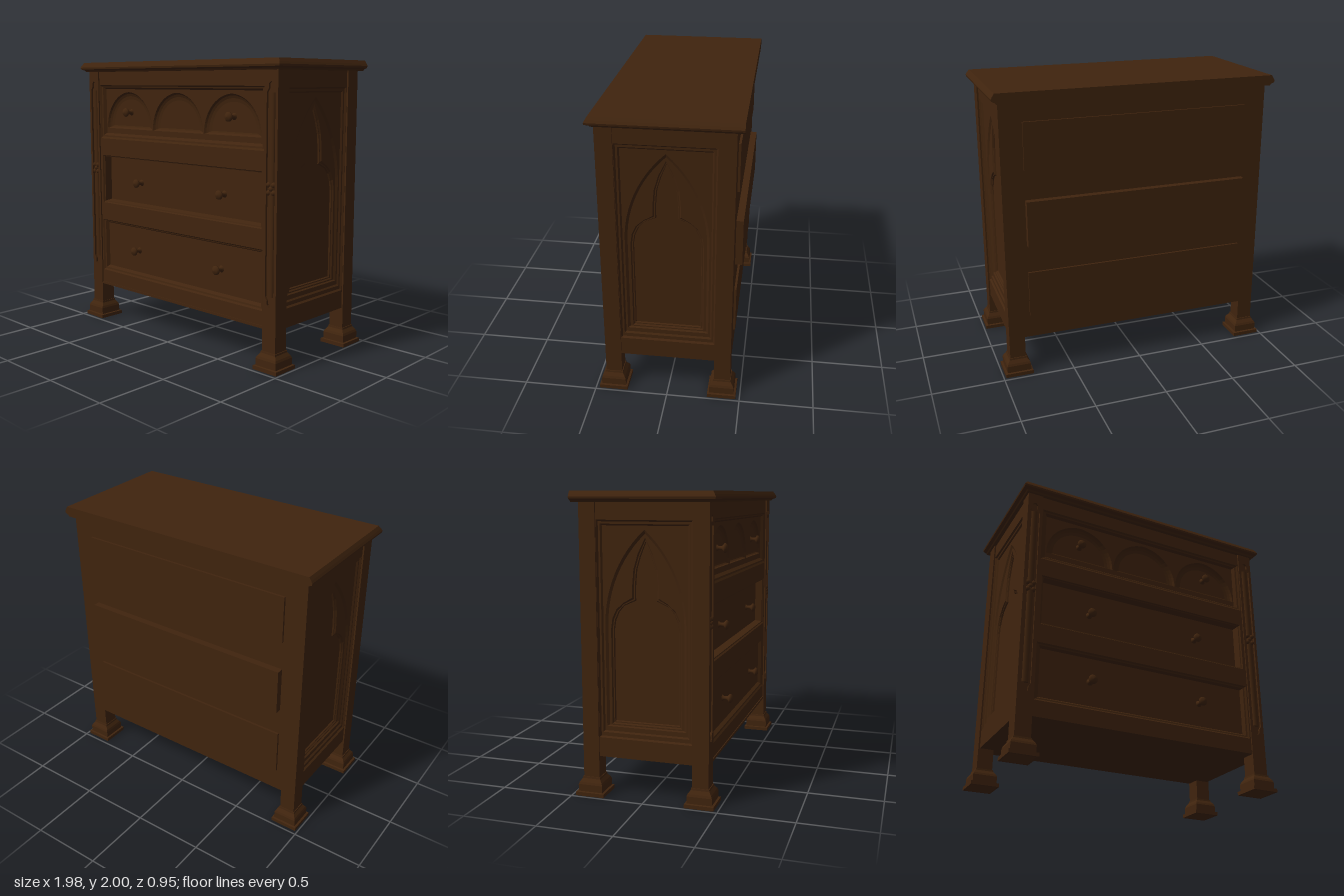
import * as THREE from 'three';

const wood = new THREE.MeshStandardMaterial({ color: 0x40240e });
wood.name = 'dark oak';

const V = (x, y) => new THREE.Vector2(x, y);
const rect = (x0, y0, x1, y1) => [V(x0, y0), V(x1, y0), V(x1, y1), V(x0, y1)];
const square = (h) => rect(-h, -h, h, h);

// Closes a right-hand outline (bottom to apex) with its mirror image
const mirror = (half, cx = 0) => [
  ...half.map(([x, y]) => V(cx + x, y)),
  ...half.filter(([x]) => x > 0).reverse().map(([x, y]) => V(cx - x, y)),
];

// Pointed arch: straight jambs up to the spring, then two arcs to the apex
function arch(w, y0, spring, apex, cx = 0) {
  const h = apex - spring, c = (h * h - w * w) / (2 * w), R = w + c;
  const end = Math.atan2(h, c), half = [[w, y0]];
  for (let i = 0; i < 12; i++) {
    const a = (end * i) / 12;
    half.push([R * Math.cos(a) - c, spring + R * Math.sin(a)]);
  }
  half.push([0, apex]);
  return mirror(half, cx);
}

// Trefoil-headed outline, inset by d
const trefoil = (d) => mirror([
  [0.238 - d, 0.49 + d], [0.238 - d, 1.12], [0.228 - d, 1.19 - d * 0.5], [0.2 - d * 0.8, 1.25 - d * 0.8],
  [0.15, 1.295 - d], [0.09 - d, 1.33 - d], [0.09 - d, 1.4], [0.08 - d, 1.51], [0.05 - d * 0.7, 1.61 - d],
  [0.02 - d * 0.4, 1.67 - d], [0, 1.71 - d * 1.5],
]);

function add(parent, name, geometry, x = 0, y = 0, z = 0) {
  const mesh = new THREE.Mesh(geometry, wood);
  mesh.name = name;
  mesh.position.set(x, y, z);
  parent.add(mesh);
  return mesh;
}

const box = (parent, name, x0, x1, y0, y1, z0, z1) =>
  add(parent, name, new THREE.BoxGeometry(x1 - x0, y1 - y0, z1 - z0), (x0 + x1) / 2, (y0 + y1) / 2, (z0 + z1) / 2);

// Flat face with openings
function face(parent, name, outline, holes, z) {
  const shape = new THREE.Shape(outline);
  shape.holes = holes.map((h) => new THREE.Path(h));
  return add(parent, name, new THREE.ShapeGeometry(shape), 0, 0, z);
}

// Moulding strip through a series of [outline, z] levels, optionally capped
function moulding(parent, name, levels, cap = true) {
  const pos = [];
  for (let k = 0; k + 1 < levels.length; k++) {
    const [a, za] = levels[k], [b, zb] = levels[k + 1];
    a.forEach((p, i) => {
      const j = (i + 1) % a.length, q = a[j], r = b[j], s = b[i];
      pos.push(p.x, p.y, za, q.x, q.y, za, r.x, r.y, zb, p.x, p.y, za, r.x, r.y, zb, s.x, s.y, zb);
    });
  }
  const g = new THREE.BufferGeometry();
  g.setAttribute('position', new THREE.Float32BufferAttribute(pos, 3));
  g.computeVertexNormals();
  const mesh = add(parent, name, g);
  const [last, z] = levels[levels.length - 1];
  if (cap) face(mesh, name + 'Face', last, [], z);
  return mesh;
}

function knob(parent, x, y, z) {
  const p = [[0.024, 0], [0.014, 0.012], [0.014, 0.035], [0.022, 0.045], [0.032, 0.052], [0.032, 0.06], [0.022, 0.072], [0, 0.076]];
  add(parent, 'knob', new THREE.LatheGeometry(p.map(([r, h]) => V(r, h)), 16), x, y, z).rotation.x = Math.PI / 2;
}

function sidePanel(s) {
  const g = new THREE.Group();
  g.name = s > 0 ? 'leftSide' : 'rightSide';
  const opening = rect(-0.318, 0.4, 0.318, 1.82), inner = rect(-0.285, 0.445, 0.285, 1.785);
  const archOuter = arch(0.272, 0.475, 1.15, 1.76);
  face(g, 'sideFrame', rect(-0.325, 0.27, 0.325, 1.93), [opening], 0.93);
  moulding(g, 'sideFrameMoulding', [[opening, 0.93], [rect(-0.308, 0.41, 0.308, 1.81), 0.918],
    [rect(-0.295, 0.435, 0.295, 1.795), 0.918], [inner, 0.908]], false);
  face(g, 'sideSpandrel', inner, [archOuter], 0.908);
  const archInner = arch(0.256, 0.482, 1.15, 1.735);
  moulding(g, 'sideArch', [[archOuter, 0.908], [archInner, 0.897]], false);
  face(g, 'sideTracery', archInner, [trefoil(0)], 0.897);
  moulding(g, 'trefoilRecess', [[trefoil(0), 0.897], [trefoil(0.008), 0.888], [trefoil(0.015), 0.888], [trefoil(0.02), 0.878]]);
  g.rotation.y = (s * Math.PI) / 2;
  return g;
}

function leg(sx, sz) {
  const g = new THREE.Group();
  g.name = (sz > 0 ? 'front' : 'back') + (sx > 0 ? 'Left' : 'Right') + 'Leg';
  g.position.set(sx * 0.886, 0, sz * 0.375);
  const front = sz > 0;
  box(g, 'post', -0.055, 0.055, 0.1, 1.93, -0.055, front ? 0.04 : 0.055);
  // Stepped foot with a hollow underside
  moulding(g, 'foot', [[square(0.001), 0.08], [square(0.085), 0], [square(0.098), 0], [square(0.098), 0.025],
    [square(0.084), 0.028], [square(0.084), 0.075], [square(0.078), 0.09], [square(0.062), 0.112],
    [square(0.06), 0.125]]).rotation.x = -Math.PI / 2;
  if (front) {
    // Lobed groove with a slim shaft and a knot halfway up
    const shape = new THREE.Shape(rect(-0.055, 0.1, 0.055, 1.93));
    shape.holes.push(new THREE.Path(mirror([[0, 0.42], [0.018, 0.435], [0.02, 0.465], [0.035, 0.49],
      [0.035, 1.79], [0.02, 1.815], [0.018, 1.845], [0, 1.86]])));
    add(g, 'groovedFace', new THREE.ExtrudeGeometry(shape, { depth: 0.015, bevelEnabled: false }), 0, 0, 0.04);
    add(g, 'shaft', new THREE.CylinderGeometry(0.022, 0.022, 1.3, 12), 0, 1.14, 0.04).scale.z = 0.6;
    for (const [x, y] of [[-0.02, 1.165], [0.02, 1.165], [0, 1.19], [-0.02, 1.215], [0.02, 1.215]])
      add(g, 'knot', new THREE.SphereGeometry(0.018, 10, 8), x, y, 0.044);
  }
  return g;
}

export function createModel() {
  const model = new THREE.Group();
  model.name = 'chestOfDrawers';

  // Carcass
  box(model, 'carcass', -0.87, 0.87, 0.272, 1.93, -0.43, 0.34);
  box(model, 'bottomBoard', -0.929, 0.929, 0.27, 0.29, -0.42, 0.419);
  box(model, 'bottomBead', -0.83, 0.83, 0.27, 0.288, 0.4, 0.426);
  for (const sx of [-1, 1]) {
    model.add(sidePanel(sx));
    for (const sz of [-1, 1]) model.add(leg(sx, sz));
  }

  // Front rails and drawers: width, bottom, top, face depth, knob x, knob y, back depth
  const drawers = [
    [0.826, 1.425, 1.83, 0.388, 0.52, 1.63, -0.445],
    [0.808, 0.925, 1.295, 0.355, 0.425, 1.105, -0.477],
    [0.822, 0.385, 0.79, 0.385, 0.425, 0.592, -0.445],
  ];
  const openings = drawers.map(([w, y0, y1]) => rect(-w, y0, w, y1));
  face(model, 'frontRails', rect(-0.835, 0.27, 0.835, 1.93), openings, 0.42);
  drawers.forEach(([w, y0, y1, z, kx, ky, back], i) => {
    const g = new THREE.Group();
    g.name = ['topDrawer', 'middleDrawer', 'bottomDrawer'][i];
    model.add(g);
    const m = w - 0.785, inset = (d) => rect(-w + d, y0 + d, w - d, y1 - d * 0.7);
    moulding(g, 'drawerMoulding', [[openings[i], 0.42], [inset(m * 0.3), 0.41], [inset(m * 0.6), 0.408], [inset(m), z]], i > 0);
    let kz = z;
    if (i === 0) {
      // Arcade of three hollowed arches
      kz = z - 0.024;
      const step = (cx, d) => arch(0.256 - d, 1.505 + d * 0.4, 1.51 + d * 0.4, 1.78 - d, cx);
      const centres = [-0.52, 0, 0.52];
      face(g, 'arcade', inset(m), centres.map((c) => step(c, 0)), z);
      for (const c of centres)
        moulding(g, 'arcadeArch', [[step(c, 0), z], [step(c, 0.012), z - 0.012], [step(c, 0.03), z - 0.02], [step(c, 0.055), kz]]);
    }
    for (const s of [-1, 1]) knob(g, s * kx, ky, kz);
    const top = [1.8, 1.275, 0.76][i];
    box(g, 'drawerBack', -0.79, 0.79, top - 0.32, top, back, -0.4);
  });

  // Moulded top with a flat back edge
  const ring = (e, y) => [rect(-e, 0.51 - e, e, 0.477), y];
  moulding(model, 'top', [[square(0.3), 1.93], ring(0.955, 1.93), ring(0.962, 1.94), ring(0.985, 1.95),
    ring(0.988, 1.963), ring(0.98, 1.978), ring(0.966, 2)]).rotation.x = -Math.PI / 2;

  return model;
}
